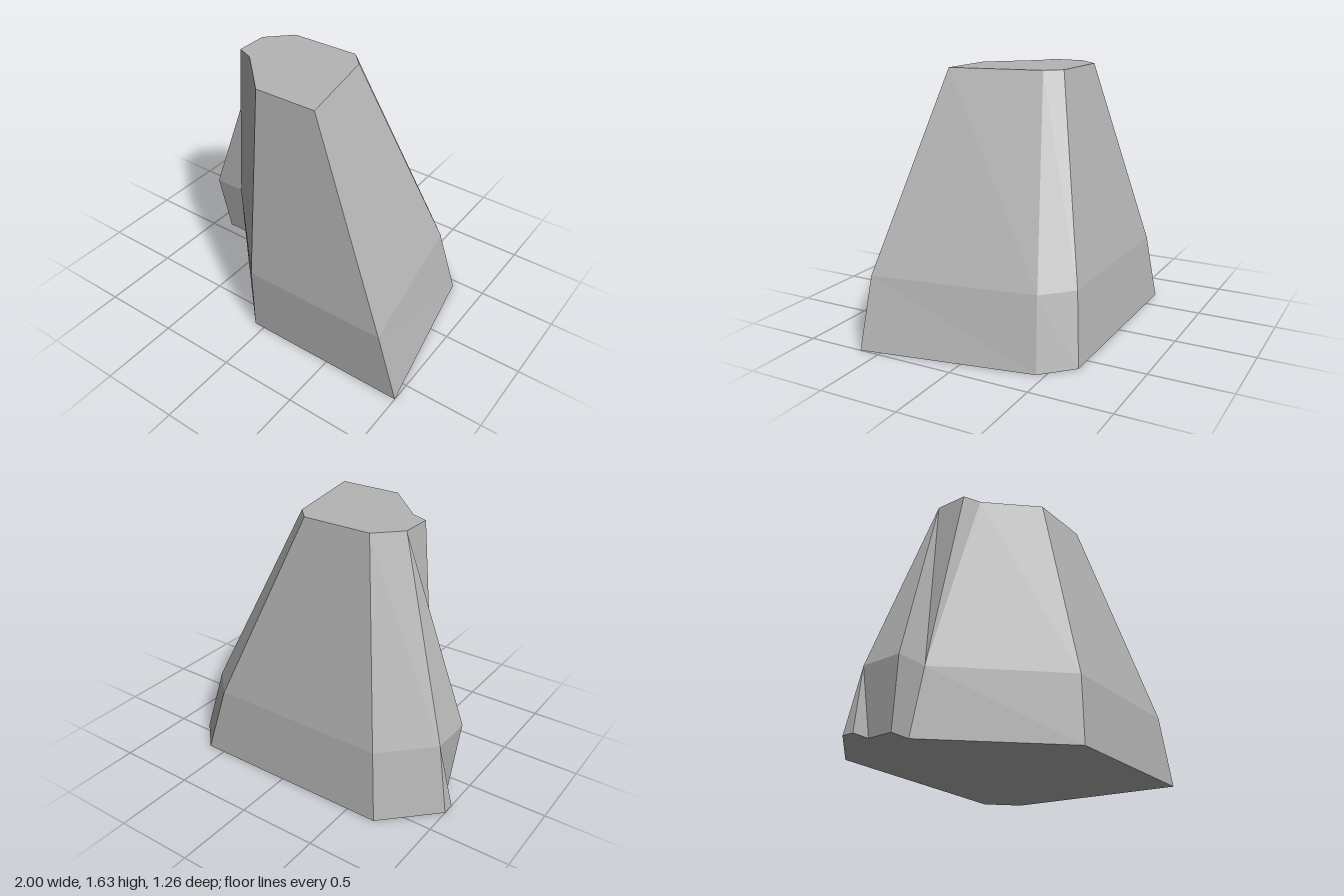
import * as THREE from 'three';

// Cross-sections as [x, z], clockwise from the back left corner seen from above.
// Repeated points let the notch on the -x side close up as it rises.
const RINGS = [
  { y: 0, pts: [[-0.69, -0.63], [0.62, -0.63], [0.8, -0.45], [1, 0.63], [-0.07, 0.63],
    [-0.75, -0.07], [-0.75, -0.07], [-0.885, -0.07], [-0.885, -0.24], [-1, -0.24], [-1, -0.32]] },
  { y: 0.43, pts: [[-0.635, -0.57], [0.515, -0.57], [0.69, -0.4], [0.865, 0.63], [-0.08, 0.63],
    [-0.71, -0.01], [-0.71, -0.01], [-0.92, -0.01], [-0.92, -0.285], [-0.92, -0.285], [-0.92, -0.285]] },
  { y: 1.63, pts: [[-0.385, -0.26], [0.07, -0.26], [0.16, -0.165], [0.27, 0.43], [-0.14, 0.43],
    [-0.425, 0.145], [-0.535, 0.1], [-0.535, -0.11], [-0.535, -0.11], [-0.535, -0.11], [-0.535, -0.11]] },
];

// Faceted skin between consecutive rings, skipping collapsed triangles
function sideGeometry(rings) {
  const positions = [];
  const tri = (a, b, c) => {
    const area = new THREE.Triangle(a, b, c).getArea();
    if (area > 1e-5) for (const p of [a, b, c]) positions.push(p.x, p.y, p.z);
  };
  for (let r = 0; r < rings.length - 1; r++) {
    const [low, high] = [rings[r], rings[r + 1]].map(
      ({ y, pts }) => pts.map(([x, z]) => new THREE.Vector3(x, y, z)));
    for (let i = 0; i < low.length; i++) {
      const j = (i + 1) % low.length;
      tri(low[i], high[i], high[j]);
      tri(low[i], high[j], low[j]);
    }
  }
  const geo = new THREE.BufferGeometry();
  geo.setAttribute('position', new THREE.Float32BufferAttribute(positions, 3));
  geo.computeVertexNormals();
  return geo;
}

// Flat cap facing up (dir 1) or down (dir -1)
function capGeometry({ y, pts }, dir) {
  const unique = pts.filter(([x, z], i) => i === 0 || x !== pts[i - 1][0] || z !== pts[i - 1][1]);
  const shape = new THREE.Shape(unique.map(([x, z]) => new THREE.Vector2(x, -dir * z)));
  return new THREE.ShapeGeometry(shape).rotateX(-dir * Math.PI / 2).translate(0, y, 0);
}

export function createModel() {
  const group = new THREE.Group();
  group.name = 'rock';
  const stone = new THREE.MeshStandardMaterial({ color: 0xb4b4b4 });
  stone.name = 'stone grey';

  const add = (name, geometry) => {
    const mesh = new THREE.Mesh(geometry, stone);
    mesh.name = name;
    group.add(mesh);
  };
  add('rockSides', sideGeometry(RINGS));
  add('rockTop', capGeometry(RINGS[2], 1));
  add('rockBase', capGeometry(RINGS[0], -1));
  return group;
}
